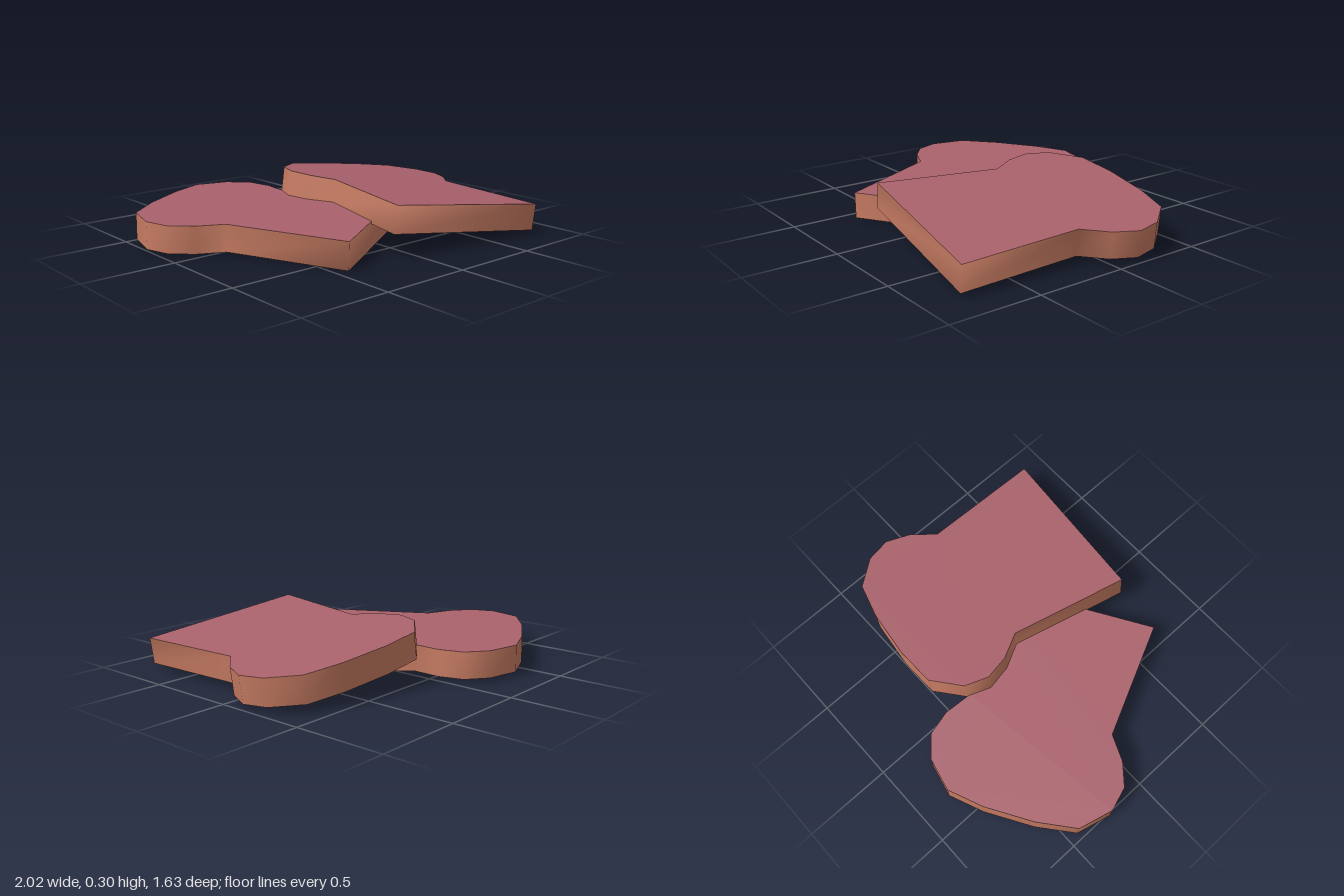
import * as THREE from 'three';

const THICKNESS = 0.148;

// Slice outline in plan (x, z), starting at the front left corner and running clockwise from above
const OUTLINE = [
  [0, 0], [0.166, -0.66], [0.095, -0.8], [0.07, -0.94], [0.12, -1.07], [0.282, -1.19], [0.514, -1.19],
  [0.796, -1.15], [0.997, -1.09], [1.113, -0.94], [1.138, -0.8], [1.078, -0.67], [0.967, -0.55], [0.957, 0.13],
];

// Flat cap, facing up or down
function capGeometry(up) {
  const shape = new THREE.Shape(OUTLINE.map(([x, z]) => new THREE.Vector2(x, up ? -z : z)));
  const g = new THREE.ShapeGeometry(shape);
  g.rotateX(up ? -Math.PI / 2 : Math.PI / 2);
  if (!up) g.translate(0, -THICKNESS, 0);
  return g;
}

// Smooth wall that follows the outline
function crustGeometry() {
  const n = OUTLINE.length, pos = [], index = [];
  OUTLINE.forEach(([x, z], i) => {
    const j = (i + 1) % n;
    pos.push(x, 0, z, x, -THICKNESS, z);
    index.push(2 * j + 1, 2 * i + 1, 2 * i, 2 * j + 1, 2 * i, 2 * j);
  });
  const g = new THREE.BufferGeometry();
  g.setAttribute('position', new THREE.Float32BufferAttribute(pos, 3));
  g.setIndex(index);
  g.computeVertexNormals();
  return g;
}

export function createModel() {
  const crumb = new THREE.MeshStandardMaterial({ color: 0xaa626c });
  crumb.name = 'crumb';
  const crust = new THREE.MeshStandardMaterial({ color: 0xc67b62 });
  crust.name = 'crust';
  const parts = [
    ['topFace', capGeometry(true), crumb],
    ['bottomFace', capGeometry(false), crumb],
    ['crust', crustGeometry(), crust],
  ];

  // Place a slice by its front left top corner, the normal of its top and its turn about y
  function slice(name, corner, normal, yaw) {
    const group = new THREE.Group();
    group.name = name;
    for (const [part, geometry, material] of parts) {
      const mesh = new THREE.Mesh(geometry, material);
      mesh.name = part;
      group.add(mesh);
    }
    const up = new THREE.Vector3(0, 1, 0);
    const turn = new THREE.Quaternion().setFromAxisAngle(up, yaw);
    group.quaternion.setFromUnitVectors(up, new THREE.Vector3(...normal).normalize()).multiply(turn);
    group.position.set(...corner);
    return group;
  }

  const model = new THREE.Group();
  model.name = 'breadSlices';
  model.add(
    slice('lowerSlice', [-0.43, 0.15, 0.66], [0.005, 1, 0.0156], 0.684),
    slice('leaningSlice', [-0.13, 0.285, 0.68], [0.12, 1, 0.03], 0),
  );
  return model;
}
